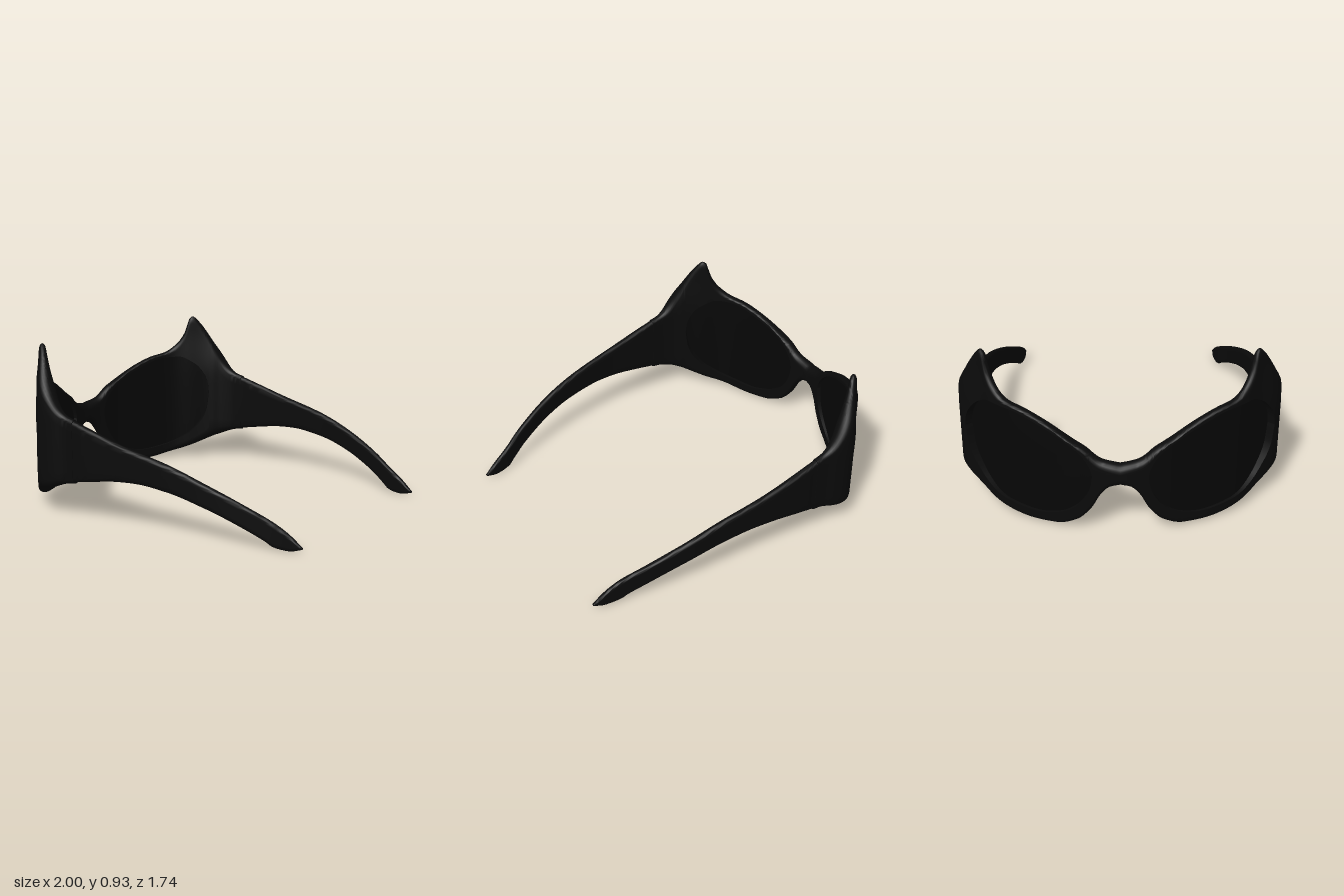
import * as THREE from 'three';
import { toCreasedNormals } from 'three/addons/utils/BufferGeometryUtils.js';

const frameBlack = new THREE.MeshStandardMaterial({ color: 0x0b0b0b });
frameBlack.name = 'frame black';
const lensBlack = new THREE.MeshStandardMaterial({ color: 0x070707 });
lensBlack.name = 'lens black';

// Smooth interpolation through [s, value] points without overshoot
function track(p) {
  const slope = i => (p[i + 1][1] - p[i][1]) / (p[i + 1][0] - p[i][0]);
  const m = p.map((_, i) => {
    if (i === 0) return slope(0);
    if (i === p.length - 1) return slope(i - 1);
    const a = slope(i - 1), b = slope(i);
    return a * b <= 0 ? 0 : (2 * a * b) / (a + b);
  });
  return s => {
    s = THREE.MathUtils.clamp(s, p[0][0], p[p.length - 1][0]);
    let i = 0;
    while (i < p.length - 2 && s > p[i + 1][0]) i++;
    const h = p[i + 1][0] - p[i][0], t = (s - p[i][0]) / h, u = 1 - t;
    return p[i][1] * (1 + 2 * t) * u * u + m[i] * h * t * u * u
      + p[i + 1][1] * t * t * (3 - 2 * t) - m[i + 1] * h * t * t * u;
  };
}

// Plan path from one arm tip round the front to the other, as (x, z)
const halfPath = [[-0.925, 0.19], [-0.875, 0.345], [-0.76, 0.59], [-0.635, 0.715], [-0.505, 0.815],
  [-0.34, 0.83], [0, 0.826], [0.3, 0.8], [0.5, 0.77], [0.7, 0.715], [0.85, 0.66], [1, 0.635]];
const path = new THREE.SplineCurve([
  ...halfPath.map(([x, z]) => new THREE.Vector2(x, -z)).reverse(),
  new THREE.Vector2(-0.957, 0),
  ...halfPath.map(([x, z]) => new THREE.Vector2(x, z))]);
path.arcLengthDivisions = 1000;
const END = 2.502; // distance from the bridge to an arm tip

// Heights and half thickness by distance s from the bridge
const frameTop = track([[0, 0.44], [0.1, 0.46], [0.19, 0.522], [0.23, 0.542], [0.415, 0.64], [0.53, 0.682],
  [0.626, 0.703], [0.71, 0.76], [0.765, 0.84], [0.79, 0.92], [0.812, 0.935], [0.85, 0.905],
  [0.975, 0.73], [1.075, 0.595], [1.12, 0.568], [1.17, 0.555]]);
const frameBottom = track([[0, 0.32], [0.05, 0.305], [0.1, 0.25], [0.15, 0.155], [0.225, 0.07], [0.345, 0.018],
  [0.47, 0.01], [0.71, 0.05], [0.975, 0.145], [1.126, 0.198], [1.17, 0.203]]);
const lensTop = track([[0.14, 0.37], [0.15, 0.41], [0.19, 0.475], [0.26, 0.535], [0.42, 0.615], [0.6, 0.67],
  [0.72, 0.675], [0.82, 0.63], [0.88, 0.565], [0.91, 0.5], [0.918, 0.44]]);
const lensBottom = track([[0.14, 0.37], [0.148, 0.31], [0.18, 0.23], [0.24, 0.155], [0.33, 0.1], [0.45, 0.075],
  [0.62, 0.095], [0.78, 0.165], [0.86, 0.25], [0.9, 0.33], [0.918, 0.44]]);
const armTop = track([[1.15, 0.555], [1.31, 0.508], [1.476, 0.46], [1.778, 0.385], [1.98, 0.312],
  [2.187, 0.222], [2.35, 0.138], [2.43, 0.088], [2.502, 0.03]]);
const armBottom = track([[1.15, 0.207], [1.28, 0.23], [1.476, 0.258], [1.58, 0.262], [1.778, 0.24],
  [1.98, 0.185], [2.187, 0.1], [2.31, 0.035], [2.35, 0.01], [2.43, 0.002], [2.502, 0.02]]);
const halfThick = track([[0, 0.043], [0.19, 0.032], [0.345, 0.025], [0.6, 0.028], [0.803, 0.042],
  [0.95, 0.058], [1.03, 0.042], [1.12, 0.024], [1.476, 0.022], [2, 0.02], [2.3, 0.016], [2.45, 0.014], [2.502, 0.008]]);
const armThick = s => halfThick(s) * (s < 1.2 ? 0.93 : 1);
const lensThick = () => 0.012;

// Sweeps an upright section along the path between s0 and s1
function loft(s0, s1, bottom, top, thick, roundBottom, roundTop, steps) {
  const pos = [], index = [];
  let ring = 0;
  for (let i = 0; i <= steps; i++) {
    // Samples crowd towards the ends, where lens edges turn steeply
    const s = s0 + (s1 - s0) * (0.5 - 0.5 * Math.cos(Math.PI * i / steps));
    const u = 0.5 + s / (2 * END);
    const c = path.getPointAt(u), t = path.getTangentAt(u), d = Math.abs(s);
    const y0 = bottom(d), y1 = top(d), h = thick(d);
    const r = Math.min(h, (y1 - y0) * 0.45);
    const rb = roundBottom ? r : 0, rt = roundTop ? r : 0;
    const side = []; // [offset factor, y] from the bottom to the top
    for (let k = 0; k < 5; k++) {
      const a = (k / 5) * Math.PI / 2;
      side.push([roundBottom ? Math.max(Math.sin(a), 0.01) : 1, y0 + rb - rb * Math.cos(a)]);
    }
    for (let k = 0; k <= 8; k++) side.push([1, y0 + rb + (y1 - rt - y0 - rb) * k / 8]);
    for (let k = 1; k <= 5; k++) {
      const a = (k / 5) * Math.PI / 2;
      side.push([roundTop ? Math.max(Math.cos(a), 0.01) : 1, y1 - rt + rt * Math.sin(a)]);
    }
    const loop = [...side, ...side.map(([f, y]) => [-f, y]).reverse()];
    ring = loop.length;
    for (const [f, y] of loop) {
      // The horns thin out towards their tips
      const o = f * h * (1 - 0.55 * THREE.MathUtils.smoothstep(y, 0.55, 0.93));
      pos.push(c.x - t.y * o, y, c.y + t.x * o);
    }
  }
  for (let i = 0; i < steps; i++) {
    for (let j = 0; j < ring; j++) {
      const k = (j + 1) % ring, a = i * ring, b = a + ring;
      index.push(a + j, b + j, b + k, a + j, b + k, a + k);
    }
  }
  const last = steps * ring;
  for (let j = 1; j < ring - 1; j++) {
    index.push(0, j, j + 1, last, last + j + 1, last + j);
  }
  const g = new THREE.BufferGeometry();
  g.setAttribute('position', new THREE.Float32BufferAttribute(pos, 3));
  g.setIndex(index);
  return toCreasedNormals(g, 0.75);
}

export function createModel() {
  const model = new THREE.Group();
  model.name = 'sunglasses';
  const add = (name, geometry, material) => {
    const mesh = new THREE.Mesh(geometry, material);
    mesh.name = name;
    model.add(mesh);
  };

  add('noseBridge', loft(-0.14, 0.14, frameBottom, frameTop, halfThick, true, true, 24), frameBlack);

  for (const [side, sign] of [['left', 1], ['right', -1]]) {
    const span = (a, b, ...rest) => (sign > 0 ? loft(a, b, ...rest) : loft(-b, -a, ...rest));
    // Rim above and below the lens opening, with the front half of the horn
    add(side + 'UpperRim', span(0.14, 0.918, lensTop, frameTop, halfThick, false, true, 64), frameBlack);
    add(side + 'LowerRim', span(0.14, 0.918, frameBottom, lensBottom, halfThick, true, false, 64), frameBlack);
    // Cheek behind the lens, with the rear slope of the horn
    add(side + 'Cheek', span(0.918, 1.166, frameBottom, frameTop, halfThick, true, true, 24), frameBlack);
    add(side + 'Lens', span(0.14, 0.918, lensBottom, lensTop, lensThick, false, false, 48), lensBlack);
    add(side + 'Arm', span(1.16, END, armBottom, armTop, armThick, true, true, 48), frameBlack);
  }
  return model;
}
